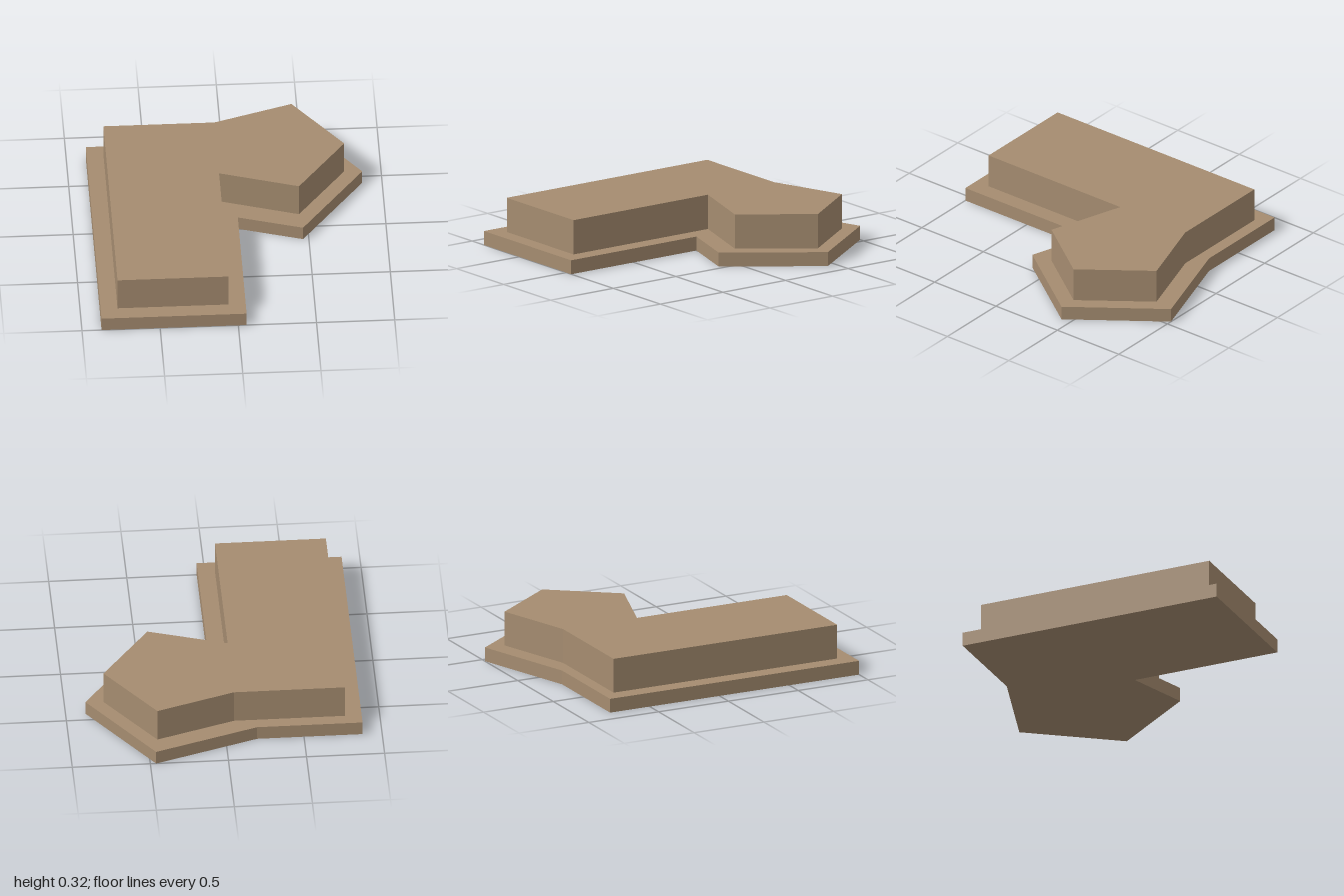
import * as THREE from 'three';

// Flat slab from an [x, z] outline, rising from y = bottom to y = top
function slab(name, outline, bottom, top, material) {
  const shape = new THREE.Shape(outline.map(([x, z]) => new THREE.Vector2(x, -z)));
  const geometry = new THREE.ExtrudeGeometry(shape, { depth: top - bottom, bevelEnabled: false });
  geometry.rotateX(-Math.PI / 2);
  geometry.translate(0, bottom, 0);
  const mesh = new THREE.Mesh(geometry, material);
  mesh.name = name;
  return mesh;
}

export function createModel() {
  const group = new THREE.Group();
  group.name = 'steppedBuilding';
  const tan = new THREE.MeshStandardMaterial({ name: 'tan', color: 0xa58c70 });

  // Wide plinth: long wing joined to a pentagonal corner
  const plinth = [
    [-0.875, -0.784], [-0.2, -0.784], [0.463, -1], [0.873, -0.433],
    [0.463, 0.13], [0.053, 0], [0.053, 1], [-0.875, 1],
  ];
  // Inset upper block with the same plan
  const block = [
    [-0.767, -0.704], [-0.057, -0.704], [0.445, -0.868], [0.758, -0.44],
    [0.445, -0.012], [-0.057, -0.175], [-0.057, 0.898], [-0.767, 0.898],
  ];
  group.add(slab('plinth', plinth, 0, 0.092, tan));
  group.add(slab('upperBlock', block, 0.092, 0.318, tan));
  return group;
}
